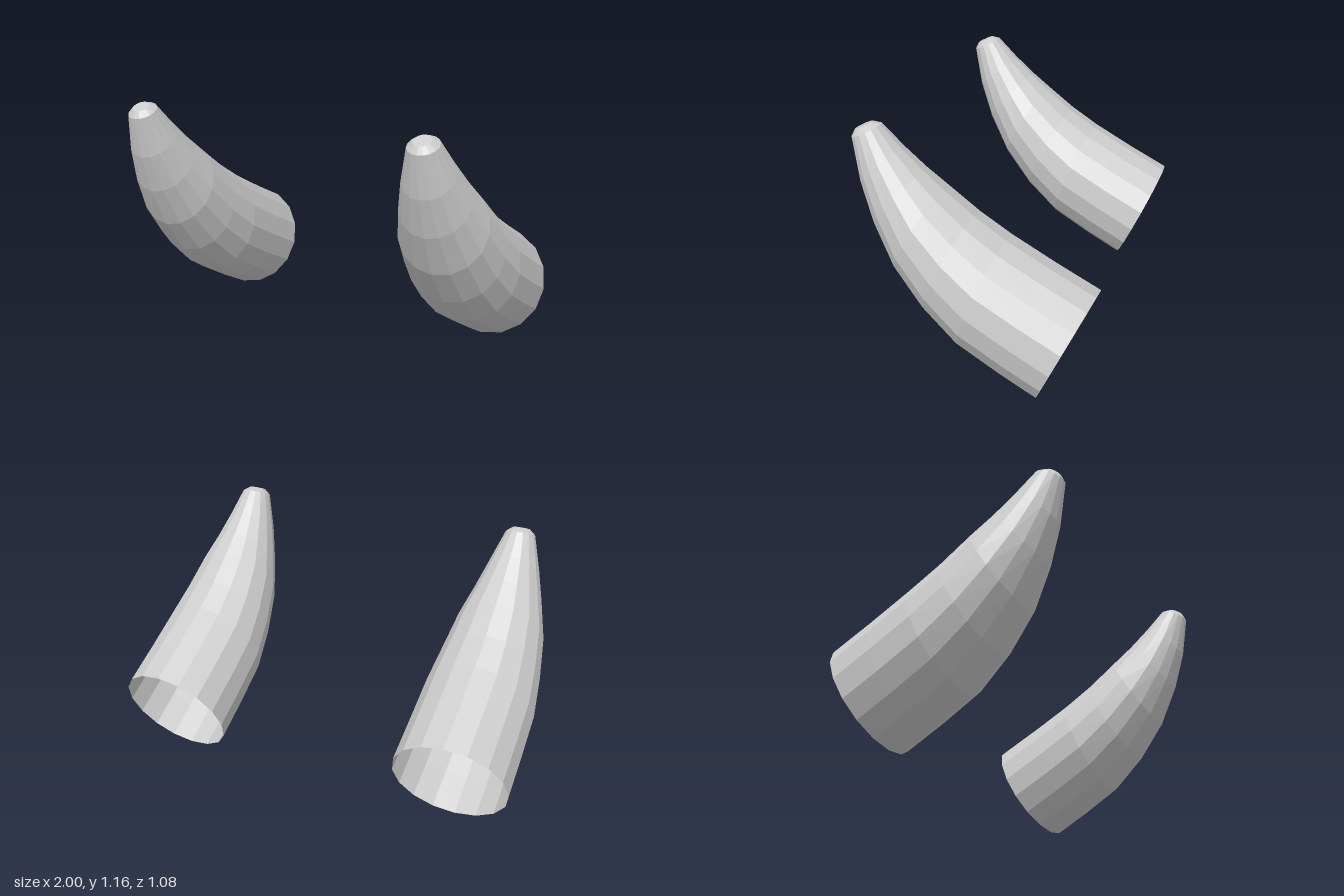
import * as THREE from 'three';

const SIDES = 16;

// Cross-sections from the open base to the tip: [lower z, lower y, upper z, upper y]
const HORN = [
  [-0.31, 0.0, -0.54, 0.495],
  [-0.14, 0.09, -0.34, 0.594],
  [0.05, 0.2, -0.14, 0.7],
  [0.21, 0.348, 0.0, 0.79],
  [0.345, 0.523, 0.135, 0.895],
  [0.443, 0.717, 0.228, 0.972],
  [0.505, 0.9, 0.32, 1.058],
  [0.542, 1.095, 0.412, 1.154],
];
const TIP = [HORN[HORN.length - 1], [0.526, 1.129, 0.452, 1.163]];

// Lofts round rings through the sections; skew turns the open base slightly outward
function loft(sections, closeEnd, skew) {
  const pos = [], index = [];
  sections.forEach(([z0, y0, z1, y1], i) => {
    const r = Math.hypot(z1 - z0, y1 - y0) / 2;
    for (let k = 0; k < SIDES; k++) {
      const a = (k / SIDES) * Math.PI * 2, c = Math.cos(a), s = Math.sin(a);
      const shift = i === 0 ? skew * s : 0;
      pos.push(
        r * s,
        (y0 + y1) / 2 + (c * (y0 - y1)) / 2 + shift * 0.42,
        (z0 + z1) / 2 + (c * (z0 - z1)) / 2 + shift * 0.9
      );
    }
  });
  for (let i = 0; i < sections.length - 1; i++) {
    for (let k = 0; k < SIDES; k++) {
      const n = (k + 1) % SIDES;
      const a = i * SIDES + k, b = i * SIDES + n, c = b + SIDES, d = a + SIDES;
      index.push(a, b, c, a, c, d);
    }
  }
  if (closeEnd) {
    const first = (sections.length - 1) * SIDES;
    for (let k = 1; k < SIDES - 1; k++) index.push(first, first + k, first + k + 1);
  }
  const indexed = new THREE.BufferGeometry();
  indexed.setAttribute('position', new THREE.Float32BufferAttribute(pos, 3));
  indexed.setIndex(index);
  const geometry = indexed.toNonIndexed();
  geometry.computeVertexNormals();
  return geometry;
}

export function createModel() {
  const group = new THREE.Group();
  group.name = 'hornPair';
  const material = new THREE.MeshStandardMaterial({
    color: 0xcccccc, flatShading: true, side: THREE.DoubleSide,
  });
  material.name = 'light grey';

  for (const side of [1, -1]) {
    const horn = new THREE.Group();
    horn.name = side > 0 ? 'leftHorn' : 'rightHorn';
    horn.position.x = side * 0.727;

    // Curved hollow shell, open at the base
    const shell = new THREE.Mesh(loft(HORN, false, side * 0.01), material);
    shell.name = 'hornShell';

    // Bevelled blunt tip
    const tip = new THREE.Mesh(loft(TIP, true, 0), material);
    tip.name = 'hornTip';

    horn.add(shell, tip);
    group.add(horn);
  }
  return group;
}
